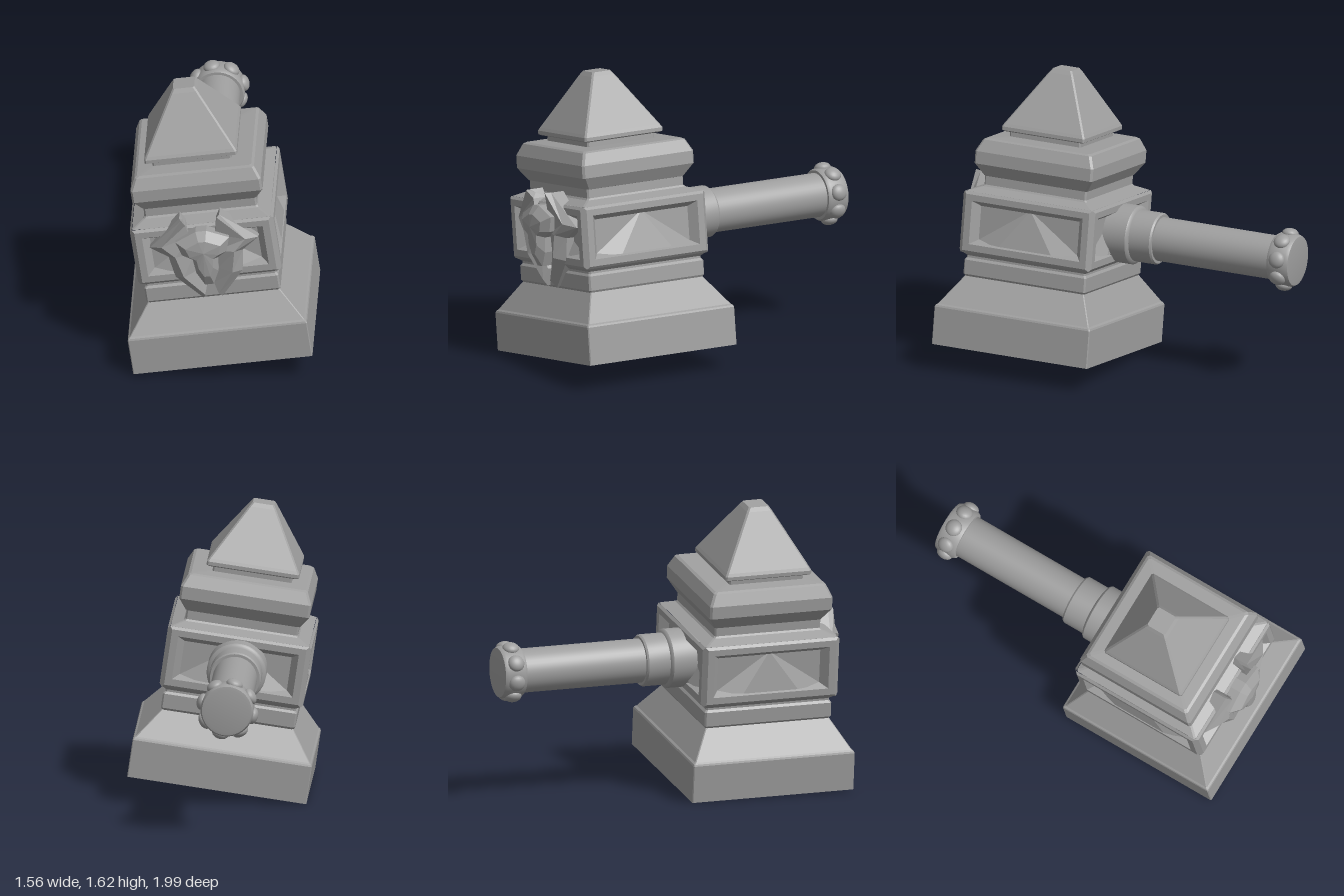
import * as THREE from 'three';
import { toCreasedNormals } from 'three/addons/utils/BufferGeometryUtils.js';

const material = new THREE.MeshStandardMaterial({ color: 0x9e9e9e });

function part(parent, name, geometry) {
  const mesh = new THREE.Mesh(geometry, material);
  mesh.name = name;
  parent.add(mesh);
  return mesh;
}

// Flat-faced geometry from a list of corner points, three per face
function facets(points) {
  const g = new THREE.BufferGeometry();
  g.setAttribute('position', new THREE.Float32BufferAttribute(points.flat(), 3));
  g.computeVertexNormals();
  return g;
}

// Skin over rings of points; rings run counter-clockwise seen from the last one
function loft(rings, capStart = true, tip = null) {
  const out = [];
  const n = rings[0].length;
  const centre = (r) => [0, 1, 2].map((k) => r.reduce((s, p) => s + p[k], 0) / n);
  const first = rings[0], last = rings[rings.length - 1];
  const c0 = centre(first), c1 = tip || centre(last);
  for (let i = 0; i < n; i++) {
    const j = (i + 1) % n;
    for (let k = 0; k + 1 < rings.length; k++) {
      const a = rings[k], b = rings[k + 1];
      out.push(a[i], a[j], b[j], a[i], b[j], b[i]);
    }
    if (capStart) out.push(c0, first[j], first[i]);
    out.push(c1, last[i], last[j]);
  }
  return facets(out);
}

// Stacked rectangular sections with slightly cut corners: [half width, half depth, height]
function tier(profile, c = 0.009) {
  return loft(profile.map(([w, d, y]) => [
    [w, y, d - c], [w, y, c - d], [w - c, y, -d], [c - w, y, -d],
    [-w, y, c - d], [-w, y, d - c], [c - w, y, d], [w - c, y, d],
  ]));
}

const rect = (w, y0, y1, z) => [[-w, y0, z], [w, y0, z], [w, y1, z], [-w, y1, z]];

// One side of the middle block: bevelled frame, sunken field and raised wedge
function addPanel(parent, turn) {
  const side = new THREE.Group();
  side.name = 'sidePanel';
  side.rotation.y = turn * Math.PI / 2;
  const s = 0.402, c = 0.026, floor = s - 0.048;
  part(side, 'panelFrame', loft([
    rect(s - c / 2, 0.518, 0.864, s - c / 2),
    rect(s - c, 0.532, 0.85, s),
    rect(0.338, 0.57, 0.815, s),
    rect(0.3, 0.595, 0.785, floor),
  ], false));
  // wedge: wide at the foot, running out to a point at the top
  const L = [-0.32, 0.58, floor], R = [0.32, 0.58, floor], T = [0, 0.8, floor];
  const P = [-0.16, 0.58, s - 0.004], Q = [0.16, 0.58, s - 0.004];
  part(side, 'panelWedge', facets([L, P, T, P, Q, T, Q, R, T, L, R, Q, L, Q, P]));
  parent.add(side);
}

function addCrest(parent) {
  const crest = new THREE.Group();
  crest.name = 'crest';
  // mirrored wings: outer edge, ridge and inner edge at stations from tip to foot
  const stations = [
    [[0.112, 0.93, 0.425], [0.1, 0.932, 0.46], [0.085, 0.88, 0.425]],
    [[0.305, 0.745, 0.39], [0.235, 0.765, 0.44], [0.07, 0.81, 0.43]],
    [[0.208, 0.68, 0.4], [0.165, 0.7, 0.455], [0.06, 0.7, 0.42]],
    [[0.188, 0.55, 0.4], [0.135, 0.57, 0.455], [0.055, 0.585, 0.41]],
    [[0.052, 0.392, 0.39], [0.038, 0.43, 0.425], [0.018, 0.49, 0.4]],
  ];
  for (const m of [1, -1]) {
    const rings = stations.map(([o, r, i]) => {
      const ring = [o, r, i, [i[0], i[1], 0.345], [o[0], o[1], 0.345]]
        .map(([x, y, z]) => [m * x, y, z]);
      return m > 0 ? ring : ring.reverse();
    });
    part(crest, m > 0 ? 'leftWing' : 'rightWing', loft(rings));
  }
  // faceted centre shield
  const half = [[0.025, 0.515], [0.062, 0.595], [0.07, 0.68], [0.125, 0.715], [0.15, 0.8], [0.03, 0.855]];
  const outline = [...half, ...half.map(([x, y]) => [-x, y]).reverse()];
  const ring = (k, z) => outline.map(([x, y]) => [x * k, 0.72 + (y - 0.72) * k, z]);
  part(crest, 'shield', loft([ring(1, 0.37), ring(1, 0.46), ring(0.65, 0.5)], true, [0, 0.74, 0.512]));
  parent.add(crest);
}

function addHandle(parent) {
  const handle = new THREE.Group();
  handle.name = 'handle';
  handle.position.set(-0.012, 0.682, 0);
  const turned = (name, pts) => {
    const g = new THREE.LatheGeometry(pts.map(([r, y]) => new THREE.Vector2(r, y)), 40);
    g.rotateX(-Math.PI / 2);
    part(handle, name, toCreasedNormals(g, 0.6));
  };
  turned('collar', [[0.165, 0.33], [0.165, 0.49], [0.158, 0.5], [0.145, 0.505],
    [0.145, 0.63], [0.138, 0.64], [0.11, 0.64]]);
  turned('shaft', [[0.123, 0.6], [0.123, 1.38]]);
  turned('endRing', [[0.11, 1.345], [0.138, 1.345], [0.147, 1.36], [0.147, 1.455],
    [0.138, 1.472], [0.12, 1.475], [0, 1.475]]);
  // domed studs round the end ring
  for (let i = 0; i < 8; i++) {
    const a = (i / 8) * Math.PI * 2 - 0.13;
    const stud = part(handle, 'stud', new THREE.SphereGeometry(0.047, 20, 12));
    stud.position.set(Math.sin(a) * 0.145, Math.cos(a) * 0.145, -1.408);
    stud.rotation.z = -a;
    stud.scale.y = 0.65;
  }
  parent.add(handle);
}

export function createModel() {
  const hammer = new THREE.Group();
  hammer.name = 'hammer';

  part(hammer, 'strikingBase', tier([
    [0.502, 0.474, 0], [0.502, 0.474, 0.212], [0.498, 0.47, 0.222], [0.488, 0.46, 0.23],
    [0.365, 0.36, 0.388],
  ], 0.005));
  part(hammer, 'lowerTier', tier([
    [0.36, 0.355, 0.37], [0.376, 0.372, 0.395], [0.376, 0.372, 0.475], [0.365, 0.362, 0.488],
    [0.365, 0.362, 0.5], [0.387, 0.387, 0.518], [0.33, 0.33, 0.525],
  ]));
  part(hammer, 'blockCore', tier([
    [0.33, 0.33, 0.52], [0.33, 0.33, 0.858], [0.387, 0.387, 0.864], [0.322, 0.319, 0.89],
    [0.315, 0.311, 0.9], [0.315, 0.311, 0.96],
  ]));
  for (let k = 0; k < 4; k++) addPanel(hammer, k);
  part(hammer, 'upperRing', tier([
    [0.3, 0.295, 0.945], [0.32, 0.315, 0.95], [0.365, 0.36, 1.02], [0.365, 0.36, 1.09],
    [0.335, 0.33, 1.155], [0.32, 0.315, 1.163], [0.22, 0.215, 1.168],
  ], 0.012));

  // the cap sits slightly off centre
  const cap = new THREE.Group();
  cap.name = 'cap';
  cap.position.set(-0.014, 0, 0.01);
  part(cap, 'capNeck', tier([[0.222, 0.217, 1.16], [0.222, 0.217, 1.215]]));
  part(cap, 'pyramidCap', tier([
    [0.247, 0.24, 1.198], [0.259, 0.252, 1.205], [0.259, 0.252, 1.225], [0.25, 0.243, 1.242],
    [0.075, 0.073, 1.53], [0.06, 0.058, 1.552],
  ]));
  hammer.add(cap);

  addCrest(hammer);
  addHandle(hammer);

  // the hammer stands slightly tilted and turned
  const up = new THREE.Vector3(-0.134, 0.989, 0.055).normalize();
  const right = up.clone().cross(new THREE.Vector3(0.458, 0.01, 0.889)).normalize();
  const front = right.clone().cross(up);
  hammer.applyMatrix4(new THREE.Matrix4().makeBasis(right, up, front).setPosition(0.129, 0.079, 0.336));

  const model = new THREE.Group();
  model.add(hammer);
  return model;
}
